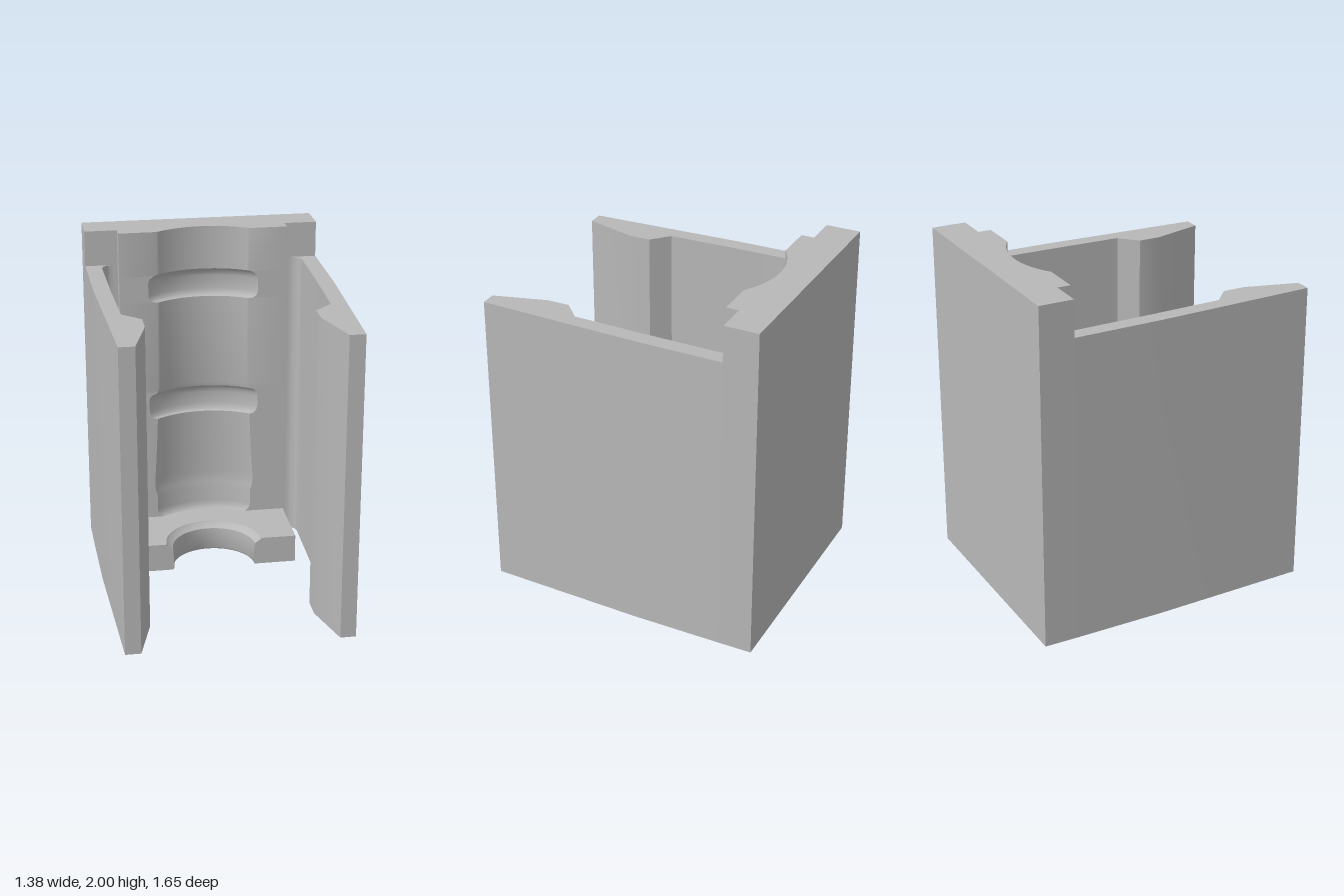
import * as THREE from 'three';
import { toCreasedNormals } from 'three/addons/utils/BufferGeometryUtils.js';

const AXIS_Z = -0.15, FACE_Z = -0.55, ARC_STEPS = 40;

// Horizontal outline at one height, counter-clockwise from above: front face with a round recess, then the back plate
function outline(frontZ, halfWidth) {
  const depth = AXIS_Z - frontZ;
  const radius = Math.hypot(halfWidth, depth);
  const reach = Math.atan2(halfWidth, depth);
  const pts = [[-0.5, frontZ]];
  for (let i = 0; i <= ARC_STEPS; i++) {
    const a = reach * (2 * i / ARC_STEPS - 1);
    pts.push([radius * Math.sin(a), AXIS_Z - radius * Math.cos(a)]);
  }
  pts.push([0.5, frontZ], [0.5, -0.625], [0.69, -0.625], [0.69, -0.825],
    [-0.69, -0.825], [-0.69, -0.625], [-0.5, -0.625]);
  return pts;
}

// Stacks outlines into a closed solid
function loft(rows) {
  const pos = [];
  const n = rows[0].pts.length;
  const put = (row, i) => pos.push(row.pts[i % n][0], row.y, row.pts[i % n][1]);
  for (let r = 0; r < rows.length - 1; r++) {
    const a = rows[r], b = rows[r + 1];
    for (let i = 0; i < n; i++) {
      put(a, i); put(a, i + 1); put(b, i + 1);
      put(a, i); put(b, i + 1); put(b, i);
    }
  }
  const cap = (row, up) => {
    const flat = row.pts.map(([x, z]) => new THREE.Vector2(x, -z));
    for (const [a, b, c] of THREE.ShapeUtils.triangulateShape(flat, [])) {
      for (const i of up ? [a, b, c] : [a, c, b]) put(row, i);
    }
  };
  cap(rows[0], false);
  cap(rows[rows.length - 1], true);
  const g = new THREE.BufferGeometry();
  g.setAttribute('position', new THREE.Float32BufferAttribute(pos, 3));
  return toCreasedNormals(g, 0.6);
}

// Springy side arm with a hooked end and a fillet at its root
function armGeometry(side) {
  const s = new THREE.Shape();
  const line = (x, z) => s.lineTo(side * x, -z);
  s.moveTo(side * 0.69, -(-0.625));
  line(0.685, -0.1);
  line(0.65, 0.825);
  line(0.56, 0.825);
  line(0.475, 0.525);
  line(0.475, 0.395);
  line(0.578, 0.3);
  line(0.59, -0.1);
  line(0.597, -0.56);
  s.bezierCurveTo(side * 0.597, 0.596, side * 0.568, 0.625, side * 0.53, 0.625);
  s.closePath();
  const g = new THREE.ExtrudeGeometry(s, { depth: 1.79, bevelEnabled: false, curveSegments: 10 });
  g.rotateX(-Math.PI / 2);
  return toCreasedNormals(g, 0.4);
}

export function createModel() {
  const group = new THREE.Group();
  const grey = new THREE.MeshStandardMaterial({ color: 0xb8b8b8 });
  grey.name = 'grey plastic';
  const add = (name, geometry) => {
    const mesh = new THREE.Mesh(geometry, grey);
    mesh.name = name;
    group.add(mesh);
  };

  // [height, half width of the recess] for the foot ledge and the wall above it
  const foot = [[0, 0.25], [0.012, 0.243], [0.138, 0.25], [0.145, 0.26], [0.162, 0.285], [0.17, 0.29]];
  const wall = [
    [0.17, 0.255], [0.18, 0.272], [0.195, 0.284], [0.22, 0.29], [0.31, 0.29], [0.345, 0.3], [0.38, 0.305],
    [0.42, 0.304], [0.55, 0.296], [0.7, 0.288], [0.826, 0.283],
    [0.832, 0.308], [0.845, 0.322], [0.87, 0.331], [0.94, 0.334], [0.965, 0.328], [0.982, 0.312], [0.992, 0.285],
    [1.02, 0.275], [1.568, 0.275],
    [1.572, 0.3], [1.585, 0.32], [1.61, 0.329], [1.69, 0.329], [1.71, 0.322], [1.73, 0.3], [1.74, 0.275],
    [2, 0.275],
  ];
  const rows = [
    ...foot.map(([y, w]) => ({ y, pts: outline(AXIS_Z, w) })),
    ...wall.map(([y, w]) => ({ y, pts: outline(FACE_Z, w) })),
  ];
  add('backWallWithFoot', loft(rows));
  add('leftArm', armGeometry(1));
  add('rightArm', armGeometry(-1));
  return group;
}
